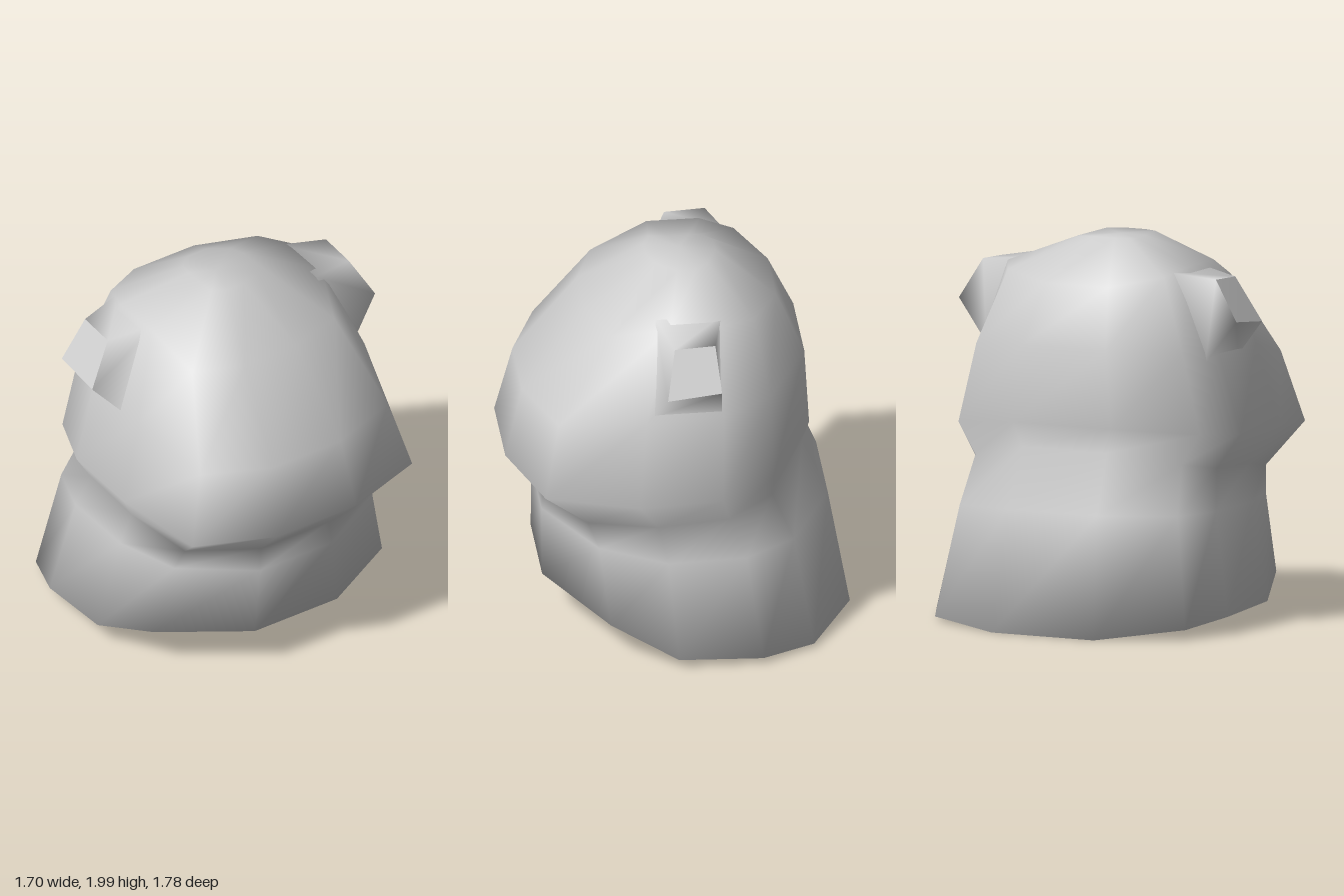
import * as THREE from 'three';

// Twelve-sided outline in -1..1; corner sets how far forward the front corners sit
function outline(corner) {
  const half = [[0.3, 1], [0.83, corner], [1, 0.2], [1, -0.35], [0.86, -0.7], [0.35, -1]];
  return [...half, ...half.slice().reverse().map(([x, z]) => [-x, z])];
}

// Cross-sections, top to bottom:
// heights at front, side and back, half width, front z, back z, front corner
const rings = [
  [2.0, 1.985, 2.0, 0.17, 0.14, -0.22, 0.8],   // crown
  [1.76, 1.87, 1.79, 0.53, 0.47, -0.52, 0.8],  // brow
  [1.33, 1.42, 1.48, 0.7, 0.8, -0.66, 0.8],    // face
  [0.96, 0.99, 1.08, 0.82, 0.89, -0.68, 0.8],  // cheeks
  [0.75, 0.8, 0.95, 0.7, 0.69, -0.65, 0.72],   // neck
  [0.62, 0.6, 0.64, 0.74, 0.7, -0.78, 0.66],   // shoulders
  [0.25, 0.08, 0.01, 0.85, 0.7, -0.89, 0.62],  // lower rim
  [0.07, 0.07, 0.03, 0.45, 0.22, -0.4, 0.8],   // underside
];

function makeGeometry(pos, index) {
  const geo = new THREE.BufferGeometry();
  geo.setAttribute('position', new THREE.Float32BufferAttribute(pos, 3));
  geo.setIndex(index);
  geo.computeVertexNormals();
  return geo;
}

function bodyGeometry() {
  const n = 12, pos = [], index = [];
  for (const [yF, yS, yB, w, zF, zB, corner] of rings) {
    for (const [u, v] of outline(corner)) {
      // The sides sit slightly higher on the right, the middle leans a little to the right
      const y = v > 0 ? yS + (yF - yS) * Math.min(1, (v / 0.7) ** 2) : yS + (yB - yS) * v * v;
      const tilt = -0.04 * u * w * (1 - v * v);
      pos.push(u * w - 0.05 * v * v, y + tilt, (zF + zB) / 2 + v * (zF - zB) / 2);
    }
  }
  const top = rings.length * n, bottom = top + 1, last = top - n;
  pos.push(-0.05, 2, -0.04, -0.02, 0.06, -0.1);
  for (let j = 0; j < n; j++) {
    const k = (j + 1) % n;
    index.push(top, j, k, bottom, last + k, last + j);
    for (let i = 0; i < rings.length - 1; i++) {
      const a = i * n + j, b = i * n + k;
      index.push(a, a + n, b, b, a + n, b + n);
    }
  }
  return makeGeometry(pos, index);
}

// Ear stub: flared sides that blend into the head, closed by a flat end
const earBase = [[0.46, 1.86, 0.16], [0.46, 1.86, -0.18], [0.67, 1.4, -0.16], [0.67, 1.4, 0.2]];
const earEnd = [[0.71, 1.82, 0.09], [0.71, 1.83, -0.12], [0.84, 1.62, -0.14], [0.84, 1.59, 0.14]];

function earGeometry(side, z0) {
  const pos = [...earBase, ...earEnd, ...earEnd]
    .flatMap(([x, y, z]) => [side * x - 0.01, y, z + z0]);
  const index = [8, 10, 9, 8, 11, 10];
  for (let j = 0; j < 4; j++) {
    const k = (j + 1) % 4;
    index.push(j, j + 4, k, k, j + 4, k + 4);
  }
  if (side < 0) index.reverse();
  const geo = makeGeometry(pos, index);
  // Base normals follow the round head, so the shading runs on
  const p = geo.attributes.position, v = new THREE.Vector3();
  for (let i = 0; i < earBase.length; i++) {
    v.fromBufferAttribute(p, i).sub(new THREE.Vector3(0, 1.2, 0)).normalize();
    geo.attributes.normal.setXYZ(i, v.x, v.y, v.z);
  }
  return geo;
}

export function createModel() {
  const model = new THREE.Group();
  const material = new THREE.MeshStandardMaterial({ color: 0xcccccc, side: THREE.DoubleSide });
  const add = (name, geo) => {
    const mesh = new THREE.Mesh(geo, material);
    mesh.name = name;
    model.add(mesh);
  };
  add('headAndBody', bodyGeometry());
  add('leftEar', earGeometry(1, -0.02));
  add('rightEar', earGeometry(-1, -0.13));
  return model;
}
